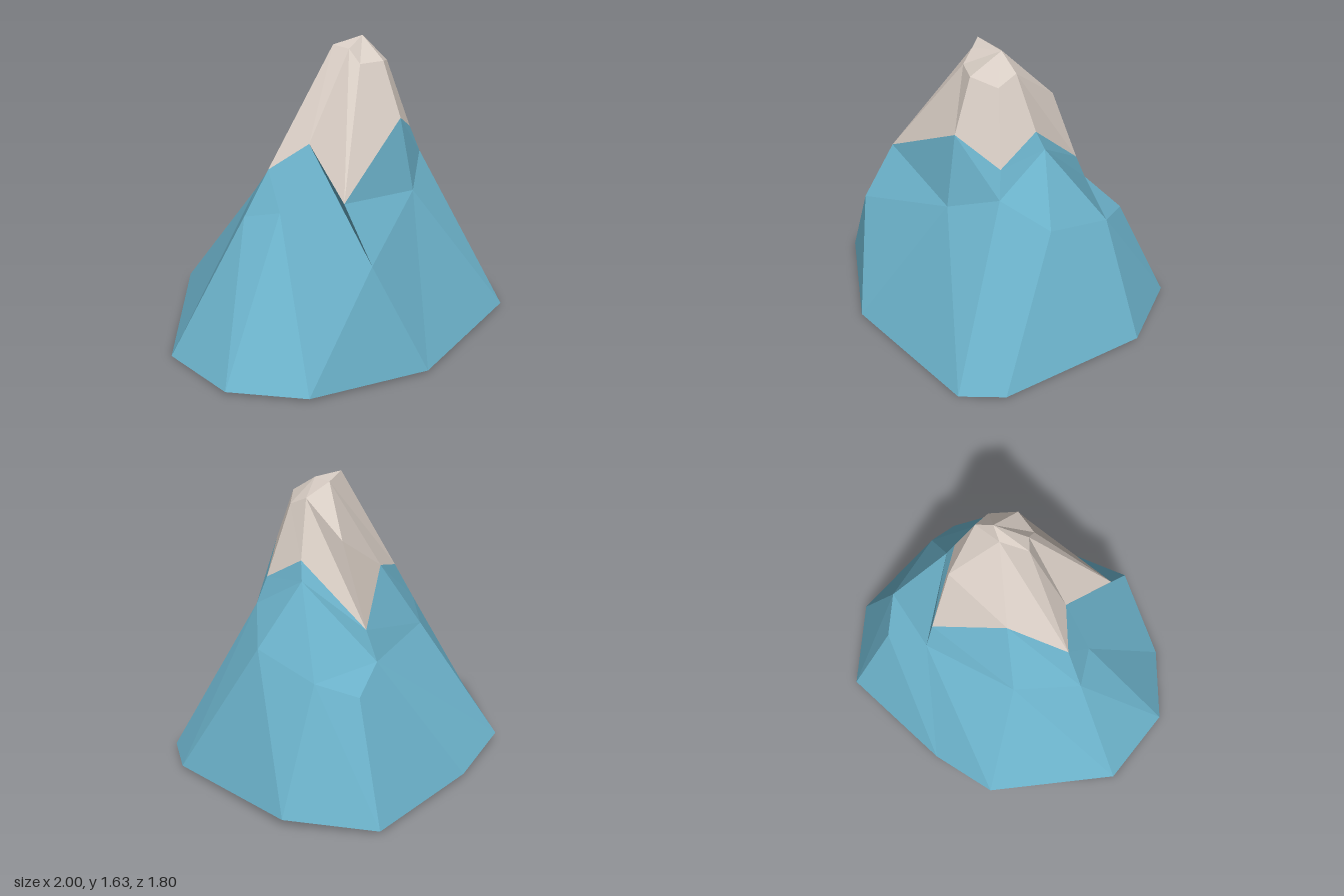
import * as THREE from 'three';

// Irregular cross-section loops, each running back -> right -> front -> left.
const base = [
  [0.32, 0.02, -0.9], [0.74, 0.06, -0.62], [1, 0.02, 0.17], [0.95, 0.02, 0.42], [0.23, 0.02, 0.89],
  [-0.44, 0.02, 0.9], [-0.82, 0.02, 0.69], [-1, 0, 0.24], [-0.72, 0.085, -0.48], [-0.36, 0.02, -0.67],
];
const waist = [
  [0.28, 0.645, -0.61], [0.47, 0.71, -0.475], [0.63, 0.8, -0.13], [0.52, 0.95, 0.12], [0.36, 0.83, 0.375],
  [-0.065, 0.65, 0.8], [-0.395, 0.8, 0.34], [-0.55, 0.745, 0.2], [-0.385, 0.74, -0.14], [0.085, 0.735, -0.45],
];
// Zigzag snow line and the rim of the summit
const snowLine = [
  [0.115, 0.9, -0.385], [0.35, 1.24, -0.1], [0.46, 1.1, 0.105], [0.3, 1.235, 0.315],
  [-0.145, 0.93, 0.62], [-0.205, 1.14, 0.275], [-0.405, 0.99, 0.185], [-0.16, 1.11, -0.06],
];
const rim = [
  [0.17, 1.355, -0.225], [0.27, 1.545, -0.01], [0.315, 1.495, 0.09], [0.235, 1.53, 0.22],
  [0.095, 1.53, 0.235], [0.055, 1.602, 0.18], [-0.02, 1.622, 0.14], [0.105, 1.6, 0.04],
];
const apex = [0.185, 1.635, 0.05];
const shoulder = [0.37, 1.14, -0.145];

// Fan of triangles over a polygon given counter-clockwise from outside
function face(out, ...p) {
  for (let i = 1; i < p.length - 1; i++) out.push(...p[0], ...p[i], ...p[i + 1]);
}

// Wall between two loops of equal length
function band(out, low, high, closed = true) {
  const n = low.length;
  for (let i = 0; i < (closed ? n : n - 1); i++) {
    const j = (i + 1) % n;
    face(out, high[j], low[j], low[i], high[i]);
  }
}

function facetedMesh(name, points, material) {
  const geometry = new THREE.BufferGeometry();
  geometry.setAttribute('position', new THREE.Float32BufferAttribute(points, 3));
  geometry.computeVertexNormals();
  const mesh = new THREE.Mesh(geometry, material);
  mesh.name = name;
  return mesh;
}

function flatMaterial(name, color) {
  const material = new THREE.MeshStandardMaterial({ color, flatShading: true, side: THREE.DoubleSide });
  material.name = name;
  return material;
}

export function createModel() {
  const rock = flatMaterial('blueRock', 0x6bb1c9);
  const snow = flatMaterial('paleSnow', 0xd8cdc4);
  const group = new THREE.Group();
  group.name = 'mountain';

  // Lower slopes, open underneath
  const lower = [];
  band(lower, base, waist);

  // Upper rock from the waist to the snow line
  const upper = [];
  band(upper, waist.slice(3), [...snowLine.slice(2), snowLine[0]], false);

  // Ledge, shoulder and fold at the back right
  const fold = waist[9];
  face(upper, fold, shoulder, waist[1], waist[0]);
  face(upper, shoulder, snowLine[1], snowLine[2], waist[3], waist[2], waist[1]);
  face(upper, shoulder, fold, snowLine[0], snowLine[1]);

  // Snow cap with its fan-shaped summit
  const cap = [];
  band(cap, snowLine, rim);
  for (let i = 1; i < 7; i++) face(cap, apex, rim[i + 1], rim[i]);
  face(cap, apex, rim[1], rim[7]);
  face(cap, rim[0], rim[7], rim[1]);

  group.add(
    facetedMesh('lowerSlopes', lower, rock),
    facetedMesh('upperSlopes', upper, rock),
    facetedMesh('snowCap', cap, snow),
  );
  return group;
}
